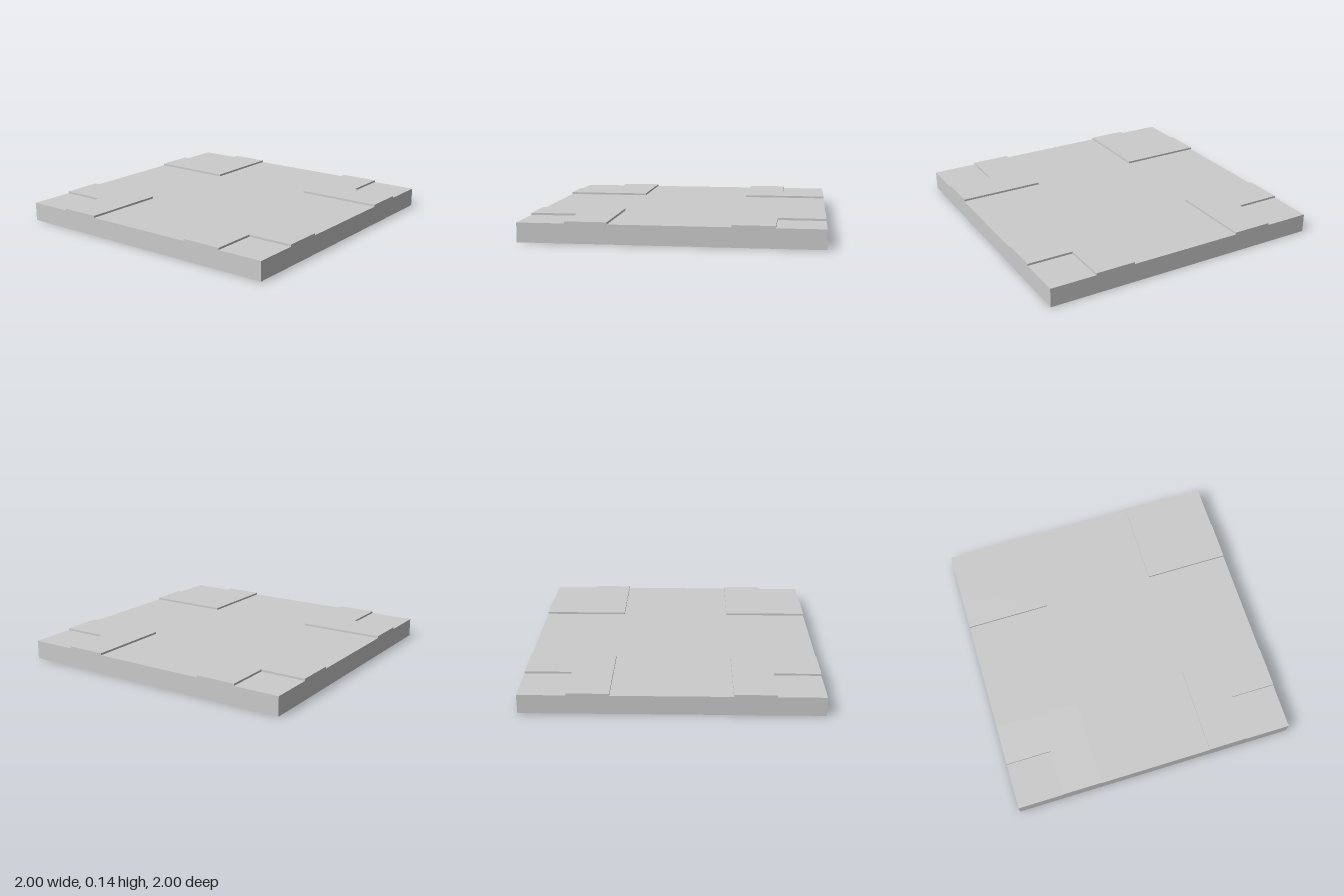
import * as THREE from 'three';

const BASE_HEIGHT = 0.131;
const PAD_HEIGHT = 0.014;
const HALF = 1;
const PAD_INNER = 0.4; // inner corner of each raised pad
const NOTCH = 0.68; // start of the square recess at the outer corner

export function createModel() {
  const model = new THREE.Group();
  model.name = 'squareTile';
  const material = new THREE.MeshStandardMaterial({ color: 0xcccccc, flatShading: true });

  // Flat square slab
  const slab = new THREE.Mesh(new THREE.BoxGeometry(2 * HALF, BASE_HEIGHT, 2 * HALF), material);
  slab.name = 'slab';
  slab.position.y = BASE_HEIGHT / 2;
  model.add(slab);

  // L-shaped raised pad, lying flat
  const outline = new THREE.Shape([
    [PAD_INNER, PAD_INNER], [HALF, PAD_INNER], [HALF, NOTCH],
    [NOTCH, NOTCH], [NOTCH, HALF], [PAD_INNER, HALF],
  ].map(([x, y]) => new THREE.Vector2(x, y)));
  const padGeometry = new THREE.ExtrudeGeometry(outline, { depth: PAD_HEIGHT, bevelEnabled: false });
  padGeometry.rotateX(-Math.PI / 2);

  // One pad per corner, by quarter turns
  ['backLeft', 'backRight', 'frontRight', 'frontLeft'].forEach((corner, i) => {
    const pad = new THREE.Mesh(padGeometry, material);
    pad.name = `${corner}CornerPad`;
    pad.position.y = BASE_HEIGHT;
    pad.rotation.y = i * Math.PI / 2;
    model.add(pad);
  });

  return model;
}
